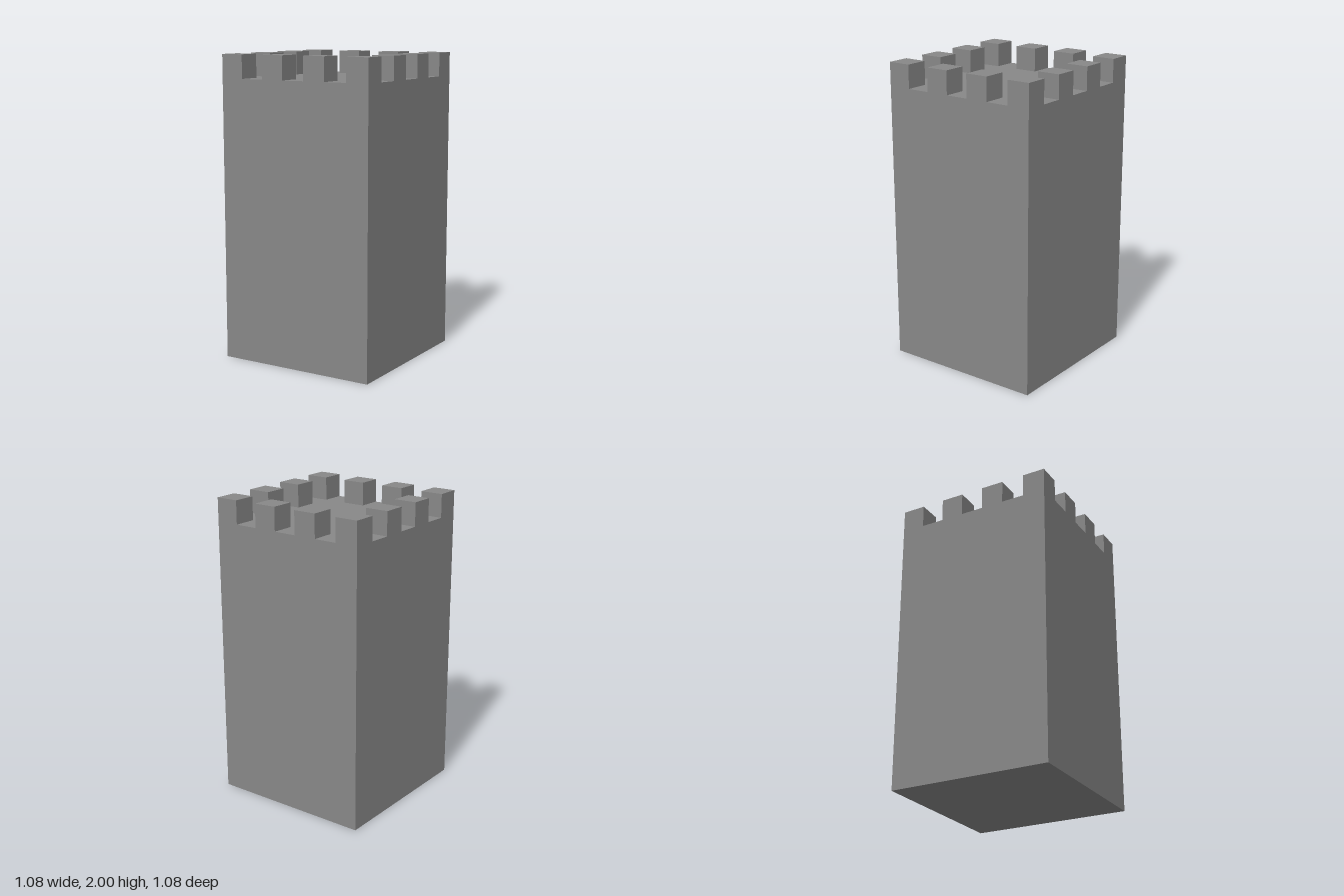
import * as THREE from 'three';

const UNIT = 2 / 13; // one battlement block
const SIDE = 7; // tower width in blocks
const HEIGHT = 12; // wall height in blocks

export function createModel() {
  const tower = new THREE.Group();
  tower.name = 'tower';
  const stone = new THREE.MeshStandardMaterial({ color: 0x888888, flatShading: true });
  stone.name = 'grey stone';

  // Solid square keep
  const keep = new THREE.Mesh(new THREE.BoxGeometry(SIDE * UNIT, HEIGHT * UNIT, SIDE * UNIT), stone);
  keep.name = 'keep';
  keep.position.y = (HEIGHT * UNIT) / 2;
  tower.add(keep);

  // Battlements: every second block around the roof edge
  const battlements = new THREE.Group();
  battlements.name = 'battlements';
  const block = new THREE.BoxGeometry(UNIT, UNIT, UNIT);
  const edge = (SIDE - 1) / 2;
  for (let x = -edge; x <= edge; x += 2) {
    for (let z = -edge; z <= edge; z += 2) {
      if (Math.abs(x) < edge && Math.abs(z) < edge) continue;
      const merlon = new THREE.Mesh(block, stone);
      merlon.name = 'merlon';
      merlon.position.set(x * UNIT, (HEIGHT + 0.5) * UNIT, z * UNIT);
      battlements.add(merlon);
    }
  }
  tower.add(battlements);
  return tower;
}
